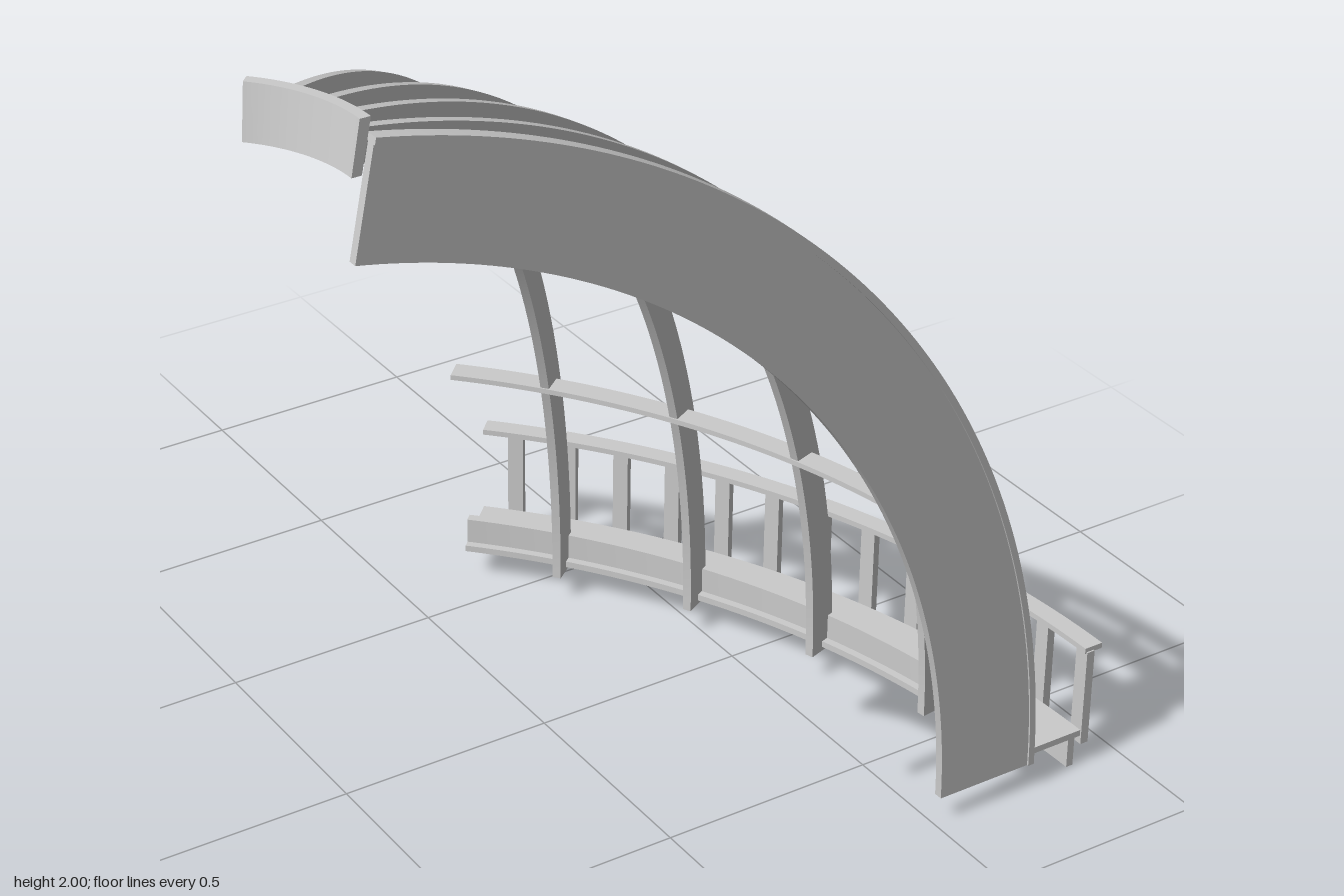
import * as THREE from 'three';
import { toCreasedNormals } from 'three/addons/utils/BufferGeometryUtils.js';

const SWEEP = Math.PI / 4;      // plan angle of the dome segment
const SPRING = 0.06;            // height of the dome's centre
const CROWN = THREE.MathUtils.degToRad(79.3); // ribs stop at the hub

const material = new THREE.MeshStandardMaterial({ color: 0xcccccc });

// Flat arc band between two radii, extruded along z
function arcBand(inner, outer, angle, depth) {
  const shape = new THREE.Shape();
  shape.absarc(0, 0, outer, 0, angle, false);
  shape.absarc(0, 0, inner, angle, 0, true);
  shape.closePath();
  return new THREE.ExtrudeGeometry(shape, { depth, bevelEnabled: false, curveSegments: 48 });
}

// Horizontal curved band, from height y0 to y1
function ring(inner, outer, y0, y1) {
  return arcBand(inner, outer, SWEEP, y1 - y0).rotateX(-Math.PI / 2).translate(0, y0, 0);
}

// Upright curved rib at a plan angle
function rib(inner, outer, width, degrees) {
  return arcBand(inner, outer, CROWN, width)
    .translate(0, SPRING, -width / 2)
    .rotateY(THREE.MathUtils.degToRad(degrees));
}

export function createModel() {
  const model = new THREE.Group();
  model.name = 'domeSegment';
  const dome = new THREE.Group();
  dome.name = 'dome';
  dome.position.set(-1.18, 0, 0.74); // vertical axis of the dome
  model.add(dome);

  const add = (name, geometry) => {
    const mesh = new THREE.Mesh(toCreasedNormals(geometry, 0.5), material);
    mesh.name = name;
    dome.add(mesh);
    return mesh;
  };

  // Deep main arch with a slim lip along its outer edge
  add('mainArch', rib(1.695, 1.925, 0.02, 0).translate(0, 0, 0.005));
  add('mainArchLip', rib(1.925, 1.94, 0.03, 0).translate(0, 0, 0.004));

  // Slender ribs
  for (const degrees of [8, 18, 28, 38]) add('rib', rib(1.865, 1.935, 0.02, degrees));

  // Horizontal hoops: inner radius, outer radius, height
  for (const [inner, outer, y] of [[1.095, 1.167, 1.59], [1.49, 1.535, 1.244], [1.78, 1.833, 0.6]]) {
    add('hoop', ring(inner, outer, y - 0.006, y + 0.006));
  }

  // Crown hub, flared to follow the rib ends
  const hub = ring(0.32, 0.341, 1.89, 2.0);
  const p = hub.attributes.position;
  for (let i = 0; i < p.count; i++) {
    const s = (p.getY(i) - SPRING) / (1.89 - SPRING);
    p.setXYZ(i, p.getX(i) * s, p.getY(i), p.getZ(i) * s);
  }
  add('crownHub', hub);

  // Walkway with fascia and inner kerb
  add('deck', ring(1.9, 2.08, 0.07, 0.085));
  add('fascia', ring(2.048, 2.065, 0, 0.07));
  add('kerb', ring(1.918, 1.94, 0.085, 0.145));

  // Railing
  add('handrail', ring(2.077, 2.122, 0.282, 0.295));
  for (let i = 0; i < 13; i++) {
    const post = new THREE.BoxGeometry(0.02, 0.235, 0.036).translate(2.09, 0.1675, 0);
    add('railPost', post.rotateY(THREE.MathUtils.degToRad(0.4 + i * 3.54)));
  }
  return model;
}
